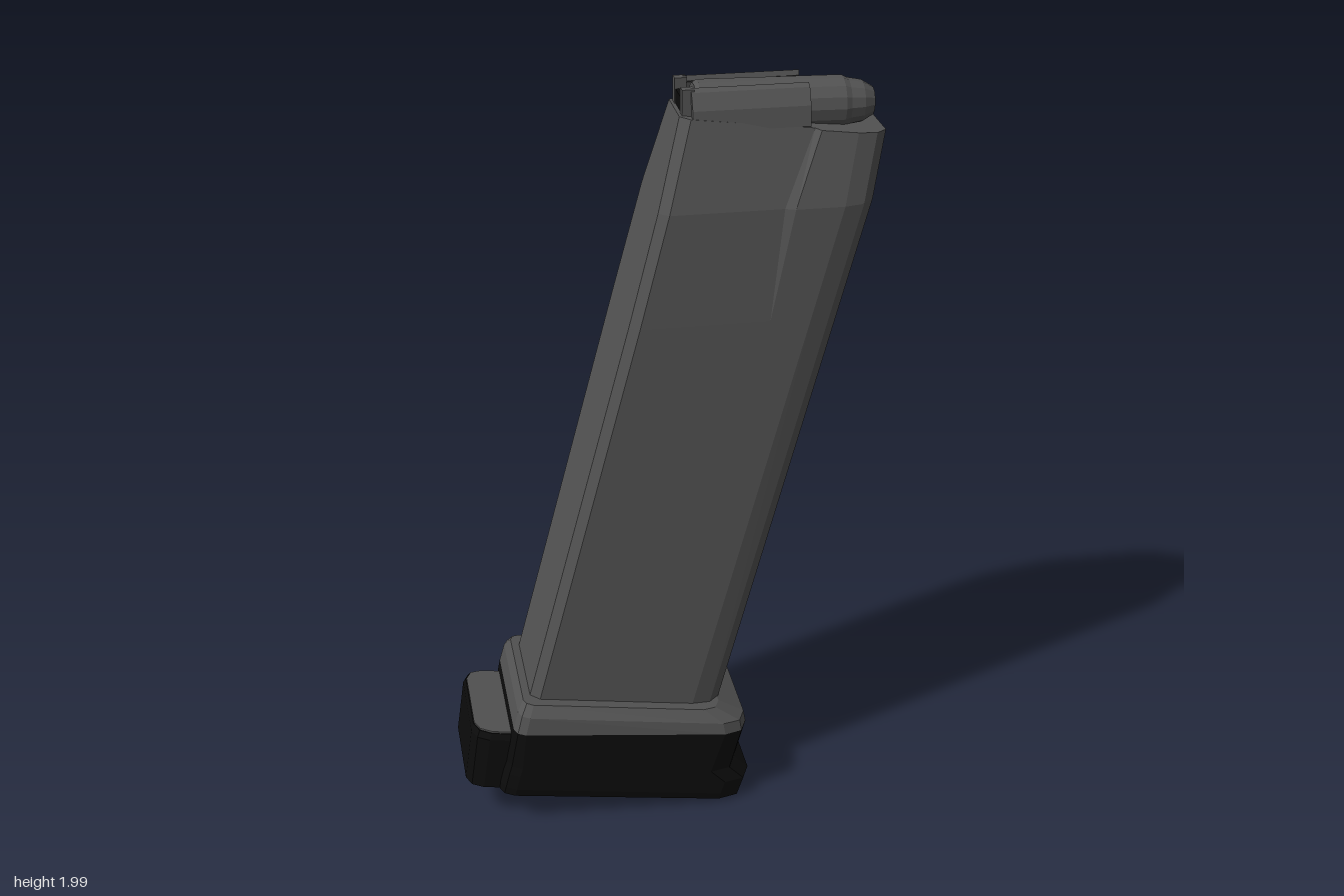
import * as THREE from 'three';

const steel = new THREE.MeshStandardMaterial({ color: 0x535353 });
steel.name = 'dark grey steel';
const black = new THREE.MeshStandardMaterial({ color: 0x0b0b0b });
black.name = 'black polymer';

// Closes a half outline of [x, y, z] points (front to back) by mirroring in z.
const mirrorRing = (half) => [...half, ...half.map(([x, y, z]) => [x, y, -z]).reverse()];

// Flat-shaded skin through rings stacked from bottom to top, with both ends capped.
function loft(halves) {
  const rings = halves.map(mirrorRing);
  const n = rings[0].length;
  const pos = [];
  const tri = (...pts) => pts.forEach((p) => pos.push(...p));
  for (let i = 0; i + 1 < rings.length; i++) {
    for (let j = 0; j < n; j++) {
      const k = (j + 1) % n;
      const [a, b, c, d] = [rings[i][j], rings[i][k], rings[i + 1][k], rings[i + 1][j]];
      tri(a, d, c);
      tri(a, c, b);
    }
  }
  // caps are strips between mirrored points
  const cap = (r, up) => {
    for (let j = 0; j + 1 < n / 2; j++) {
      const [a, b, c, d] = [r[j], r[j + 1], r[n - 2 - j], r[n - 1 - j]];
      if (up) { tri(a, c, b); tri(a, d, c); } else { tri(a, b, c); tri(a, c, d); }
    }
  };
  cap(rings[0], false);
  cap(rings[rings.length - 1], true);
  const g = new THREE.BufferGeometry();
  g.setAttribute('position', new THREE.Float32BufferAttribute(pos, 3));
  g.computeVertexNormals();
  return g;
}

// Tilted rectangle with cut corners, from back (x0, y0) to front (x1, y1).
function slab(x0, y0, x1, y1, w, back, front) {
  const at = (x, z) => [x, y0 + ((y1 - y0) * (x - x0)) / (x1 - x0), z];
  return [
    at(x1, w - front), at(x1 - front * 0.3, w - front * 0.3), at(x1 - front, w),
    at(x0 + back, w), at(x0 + back * 0.3, w - back * 0.3), at(x0, w - back),
  ];
}

// Body section: the rear wall is narrower than the front wall, with a step between them.
function bodyRing(x0, y0, x1, y1, stepRear, stepFront, wRear, wFront) {
  const at = (x, z) => [x, y0 + ((y1 - y0) * (x - x0)) / (x1 - x0), z];
  return [
    at(x1, wFront - 0.045), at(x1 - 0.03, wFront - 0.012), at(x1 - 0.08, wFront),
    at(stepFront, wFront), at(stepRear, wRear),
    at(x0 + 0.025, wRear), at(x0, wRear - 0.02),
  ];
}

export function createModel() {
  const model = new THREE.Group();
  const add = (name, geometry, material, parent = model) => {
    const mesh = new THREE.Mesh(geometry, material);
    mesh.name = name;
    parent.add(mesh);
    return mesh;
  };

  // Leaning body, tapering near the top
  add('body', loft([
    bodyRing(-0.38, 0.35, 0.14, 0.28, -0.03, -0.02, 0.148, 0.148),
    bodyRing(-0.1, 1.42, 0.437, 1.42, 0.25, 0.253, 0.148, 0.148),
    bodyRing(-0.025, 1.71, 0.513, 1.71, 0.285, 0.31, 0.138, 0.148),
    bodyRing(0.035, 1.935, 0.55, 1.872, 0.365, 0.378, 0.09, 0.107),
  ]), steel);

  // Feed lips curling over the top round
  const lips = new THREE.Group();
  lips.name = 'feedLips';
  model.add(lips);
  for (const s of [-1, 1]) {
    const profile = new THREE.Shape([
      [0.092, 1.9], [0.086, 1.95], [0.066, 1.99], [0.052, 1.998],
      [0.048, 1.985], [0.06, 1.978], [0.068, 1.945], [0.068, 1.9],
    ].map(([z, y]) => new THREE.Vector2(s * z, y)));
    const lip = new THREE.ExtrudeGeometry(profile, { depth: 0.29, bevelEnabled: false });
    lip.rotateY(Math.PI / 2);
    lip.translate(0.065, 0, 0);
    add('feedLip', lip, steel, lips);
    const post = new THREE.BoxGeometry(0.03, 0.09, 0.025);
    post.translate(0.058, 1.952, s * 0.05);
    add('rearPost', post, steel, lips);
  }
  const notch = new THREE.BoxGeometry(0.009, 0.06, 0.08);
  notch.translate(0.05, 1.94, 0);
  add('rearNotch', notch, black);

  // Top round: case and rounded nose as one turned profile
  const roundShape = new THREE.LatheGeometry([
    [0, 0], [0.058, 0], [0.065, 0.01], [0.065, 0.37], [0.058, 0.385],
    [0.052, 0.42], [0.036, 0.448], [0, 0.457],
  ].map(([r, h]) => new THREE.Vector2(r, h)), 14).toNonIndexed();
  roundShape.computeVertexNormals();
  roundShape.rotateZ(-Math.PI / 2 - 0.02);
  roundShape.translate(0.08, 1.936, 0);
  add('topRound', roundShape, steel);

  // Floor plate with a grip groove across the front
  add('basePlate', loft([
    slab(-0.47, 0.108, 0.21, 0.01, 0.2, 0.04, 0.08),
    slab(-0.465, 0.13, 0.214, 0.03, 0.205, 0.04, 0.08),
    slab(-0.455, 0.17, 0.226, 0.066, 0.205, 0.04, 0.08),
    slab(-0.447, 0.195, 0.187, 0.105, 0.203, 0.04, 0.08),
    slab(-0.425, 0.3, 0.215, 0.228, 0.205, 0.03, 0.07),
  ]), black);

  // Grey shoulder around the foot of the body
  add('baseShoulder', loft([
    slab(-0.425, 0.3, 0.215, 0.228, 0.205, 0.03, 0.07),
    slab(-0.412, 0.35, 0.21, 0.257, 0.2, 0.03, 0.07),
    slab(-0.395, 0.376, 0.14, 0.297, 0.178, 0.025, 0.05),
  ]), steel);

  // Rear heel tab and its grey top face
  add('heelTab', loft([
    slab(-0.555, 0.122, -0.43, 0.104, 0.165, 0.045, 0.005),
    slab(-0.534, 0.272, -0.4, 0.252, 0.165, 0.045, 0.005),
    slab(-0.527, 0.287, -0.4, 0.267, 0.155, 0.045, 0.005),
  ]), black);
  add('heelTabTop', loft([
    slab(-0.525, 0.286, -0.4, 0.266, 0.153, 0.045, 0.005),
    slab(-0.525, 0.291, -0.4, 0.271, 0.152, 0.045, 0.005),
  ]), steel);

  return model;
}
